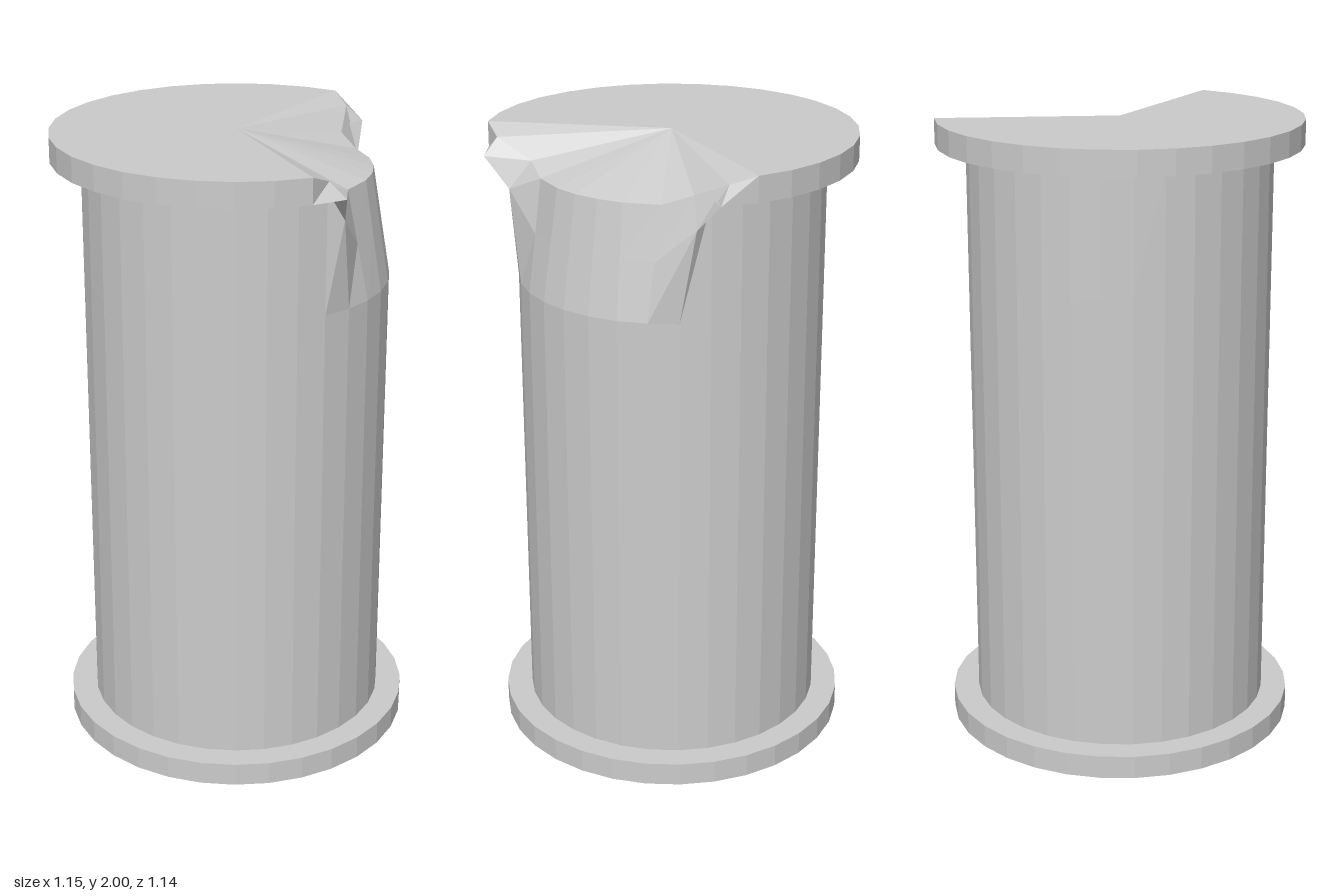
import * as THREE from 'three';

const SIDES = 32;
const STEP = (Math.PI * 2) / SIDES;
const material = new THREE.MeshStandardMaterial({ color: 0xcccccc, flatShading: true, side: THREE.DoubleSide });

// Point on the column at a given side number (fractions allowed)
const polar = (k, r, y) => new THREE.Vector3(r * Math.cos(k * STEP), y, r * Math.sin(k * STEP));

// One vertical section: centre, rim top, rim bottom, neck, wall and foot
function section(k) {
  const rows = [
    new THREE.Vector3(0, 2, 0), polar(k, 0.575, 2), polar(k, 0.575, 1.92),
    polar(k, 0.48, 1.92), polar(k, 0.48, 1.54), polar(k, 0.48, 0.07),
  ];
  // The broken corner spans sides 0 to 9 and mirrors about side 4.5
  if (k <= 9) {
    const d = Math.min(k, 9 - k);
    const s = k < 4.5 ? 1 : -1;
    if (d === 0) {
      rows[1] = polar(k - 0.33 * s, 0.535, 1.97);
    } else if (d === 1) {
      rows[1] = polar(k - 0.52 * s, 0.432, 1.915);
      rows[2] = polar(k - 0.49 * s, 0.502, 1.83);
      rows[3] = rows[2].clone();
    } else {
      rows[1] = polar(k - (d === 2 ? 0.4 * s : 0), 0.422, 1.885);
      rows[2] = rows[1].clone().lerp(rows[4], 0.48);
      rows[3] = rows[2].clone();
    }
  }
  return rows;
}

// Skin the sections between two rows, dropping collapsed triangles
function skin(name, sections, from, to) {
  const positions = [];
  const triangle = new THREE.Triangle();
  const add = (a, b, c) => {
    triangle.set(a, b, c);
    if (triangle.getArea() > 1e-7) for (const p of [a, b, c]) positions.push(p.x, p.y, p.z);
  };
  for (let k = 0; k < SIDES; k++) {
    const a = sections[k];
    const b = sections[(k + 1) % SIDES];
    for (let r = from; r < to; r++) {
      add(a[r], b[r], b[r + 1]);
      add(a[r], b[r + 1], a[r + 1]);
    }
  }
  const geometry = new THREE.BufferGeometry();
  geometry.setAttribute('position', new THREE.Float32BufferAttribute(positions, 3));
  geometry.computeVertexNormals();
  const mesh = new THREE.Mesh(geometry, material);
  mesh.name = name;
  return mesh;
}

export function createModel() {
  const group = new THREE.Group();
  group.name = 'brokenColumn';
  const sections = Array.from({ length: SIDES }, (_, k) => section(k));

  // Chipped top slab and the shaft below it
  group.add(skin('chippedCap', sections, 0, 3));
  group.add(skin('shaft', sections, 3, 5));

  // Round foot slab
  const base = new THREE.Mesh(new THREE.CylinderGeometry(0.563, 0.563, 0.075, SIDES), material);
  base.name = 'base';
  base.position.y = 0.0375;
  group.add(base);
  return group;
}
